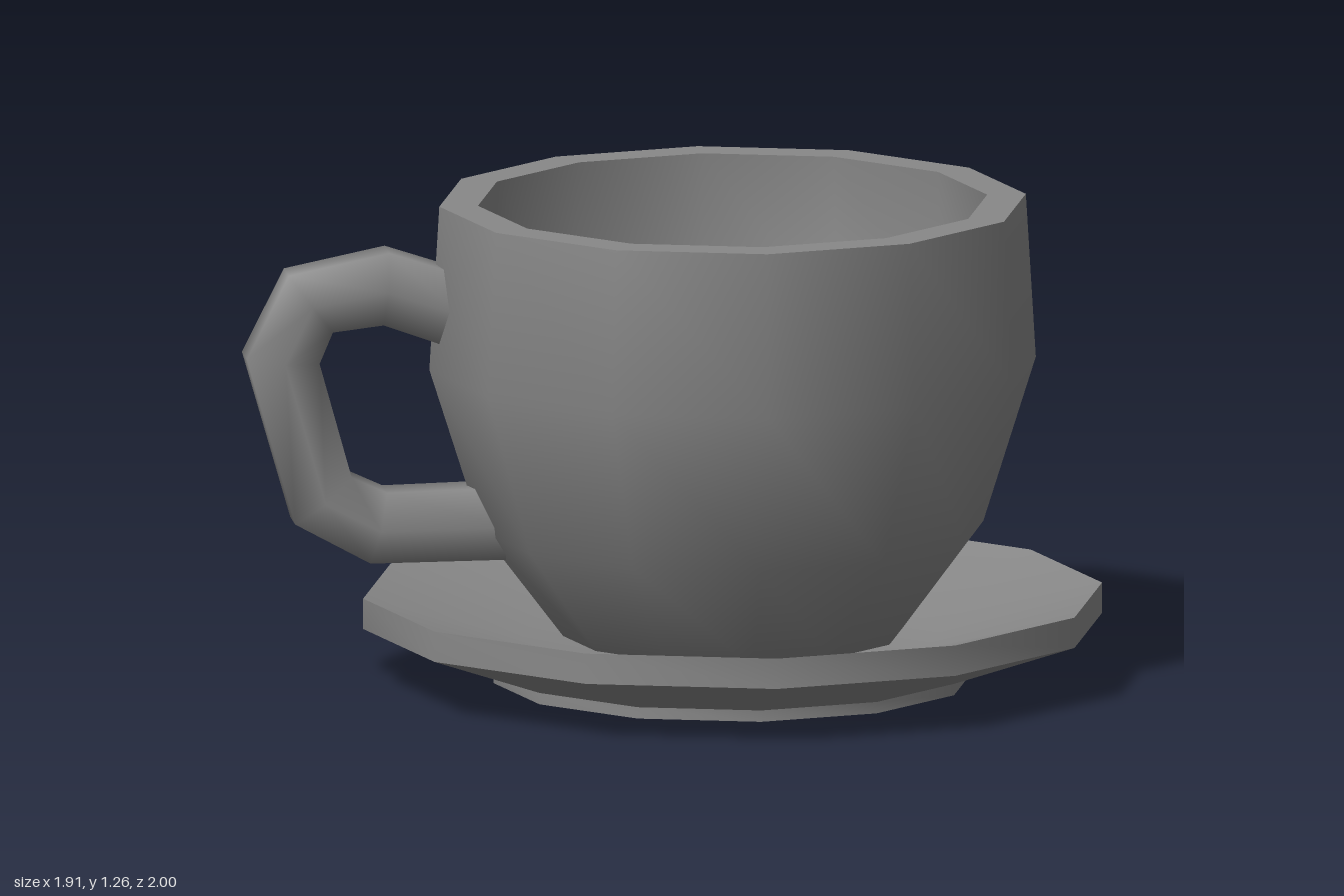
import * as THREE from 'three';
import { toCreasedNormals } from 'three/addons/utils/BufferGeometryUtils.js';

const SIDES = 12;
const material = new THREE.MeshStandardMaterial({ color: 0x888888 });

// Low-poly turned part with smooth shading and sharp rims
function turned(name, profile) {
  const points = profile.map(([r, y]) => new THREE.Vector2(r, y));
  const geometry = toCreasedNormals(new THREE.LatheGeometry(points, SIDES), 1.0);
  const mesh = new THREE.Mesh(geometry, material);
  mesh.name = name;
  return mesh;
}

// Tube whose rings sit exactly on the given path points
function bentTube(name, path, radius, sides) {
  const curve = new THREE.CatmullRomCurve3(path.map(([d, y]) => new THREE.Vector3(0, y, d)));
  curve.getPointAt = (t, target) => curve.getPoint(t, target);
  curve.getTangentAt = (t, target) => curve.getTangent(t, target);
  const geometry = new THREE.TubeGeometry(curve, path.length - 1, radius, sides);
  const mesh = new THREE.Mesh(geometry, material);
  mesh.name = name;
  return mesh;
}

export function createModel() {
  const group = new THREE.Group();
  group.name = 'cupAndSaucer';

  // Saucer: foot, sloped underside, upright rim, shallow dish
  group.add(turned('saucer', [
    [0, 0], [0.625, 0], [0.625, 0.03], [0.965, 0.15], [0.965, 0.23], [0.55, 0.12], [0, 0.12],
  ]));

  // Cup: outer wall up to the rim, then the inner wall down to the floor
  group.add(turned('cup', [
    [0, 0.11], [0.435, 0.11], [0.655, 0.4], [0.792, 0.83], [0.766, 1.26],
    [0.665, 1.26], [0.685, 0.83], [0.56, 0.45], [0.385, 0.24], [0, 0.24],
  ]));

  // Handle: path as distance from the cup axis and height, ends buried in the wall
  group.add(bentTube('handle', [
    [0.72, 0.99], [0.91, 1.055], [1.108, 1.02], [1.18, 0.87],
    [1.075, 0.5], [0.93, 0.425], [0.6, 0.43],
  ], 0.11, 6));

  // Turn the handle towards the front right
  group.rotation.y = THREE.MathUtils.degToRad(-37.5);
  group.position.z = -0.045;

  const model = new THREE.Group();
  model.add(group);
  return model;
}
